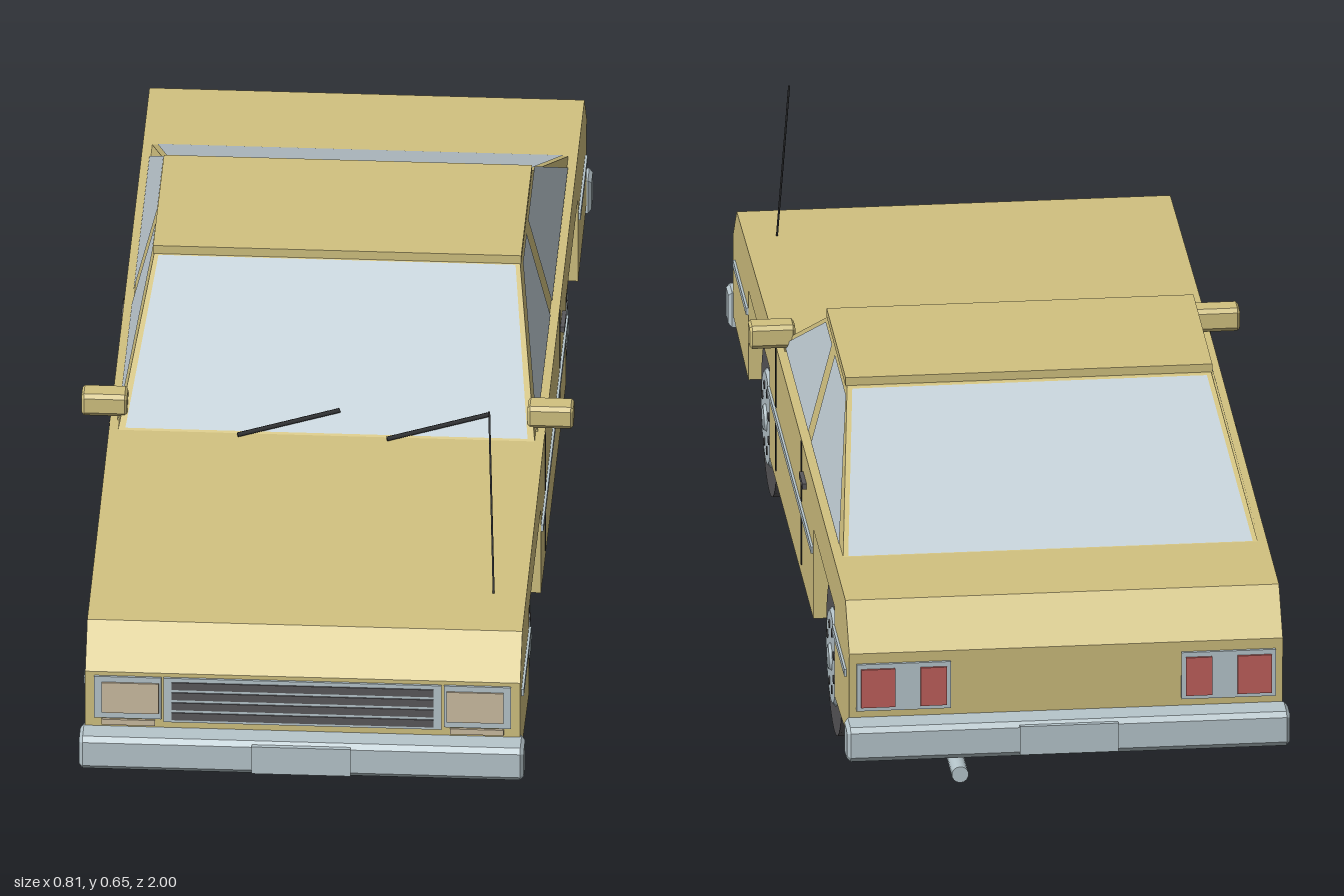
import * as THREE from 'three';

const material = (name, color, side = THREE.FrontSide) => {
  const m = new THREE.MeshStandardMaterial({ color, side });
  m.name = name;
  return m;
};

export function createModel() {
  const car = new THREE.Group();
  car.name = 'car';
  const paint = material('tan paint', 0xd2c280);
  const chrome = material('chrome', 0xb7c6cc);
  const glass = material('window glass', 0xc3d0d7, THREE.DoubleSide);
  const dark = material('dark grey', 0x59585b);
  const black = material('black trim', 0x303133);
  const lens = material('lamp lens', 0xcdbda2);
  const red = material('tail lamp red', 0xc0605c);

  const add = (name, geometry, mat, parent = car) => {
    const mesh = new THREE.Mesh(geometry, mat);
    mesh.name = name;
    parent.add(mesh);
    return mesh;
  };
  // Box given by its limits on each axis
  const box = (name, mat, x0, x1, y0, y1, z0, z1, parent) => {
    const mesh = add(name, new THREE.BoxGeometry(Math.abs(x1 - x0), y1 - y0, Math.abs(z1 - z0)), mat, parent);
    mesh.position.set((x0 + x1) / 2, (y0 + y1) / 2, (z0 + z1) / 2);
    return mesh;
  };
  // Side profile of [z, y] points, extruded across the car
  const across = (points, width, bevel = 0) => {
    const shape = new THREE.Shape(points.map(([z, y]) => new THREE.Vector2(z, y)));
    const depth = width - 2 * bevel;
    const g = new THREE.ExtrudeGeometry(shape, {
      depth, bevelEnabled: bevel > 0, bevelSize: bevel, bevelThickness: bevel, bevelOffset: -bevel, bevelSegments: 1,
    });
    return g.translate(0, 0, -depth / 2).rotateY(-Math.PI / 2);
  };
  // Flat polygon from corner points
  const panel = (name, points, mat) => {
    const g = new THREE.BufferGeometry();
    const tris = [];
    for (let i = 1; i < points.length - 1; i++) tris.push(...points[0], ...points[i], ...points[i + 1]);
    g.setAttribute('position', new THREE.Float32BufferAttribute(tris, 3));
    g.computeVertexNormals();
    return add(name, g, mat);
  };
  // Thin rod between two points
  const rod = (name, a, b, radius, mat, sides = 6) => {
    const p = new THREE.Vector3(...a), q = new THREE.Vector3(...b);
    const mesh = add(name, new THREE.CylinderGeometry(radius, radius, p.distanceTo(q), sides), mat);
    mesh.position.copy(p).add(q).multiplyScalar(0.5);
    mesh.quaternion.setFromUnitVectors(new THREE.Vector3(0, 1, 0), q.sub(p).normalize());
    return mesh;
  };

  // Lower body with square wheel openings
  add('body', across([
    [0.945, 0.145], [0.945, 0.287], [0.885, 0.351], [0.27, 0.368], [-0.88, 0.37], [-0.943, 0.3],
    [-0.935, 0.145], [-0.70, 0.13], [-0.70, 0.288], [-0.36, 0.288], [-0.36, 0.13],
    [0.355, 0.13], [0.355, 0.288], [0.695, 0.288], [0.695, 0.13],
  ], 0.714), paint);
  box('frontWheelWell', dark, -0.24, 0.24, 0.132, 0.287, 0.356, 0.694);
  box('rearWheelWell', dark, -0.24, 0.24, 0.132, 0.287, -0.699, -0.361);

  // Cabin: a tapered block under a roof slab
  const base = { y: 0.367, x: 0.342, front: 0.275, rear: -0.695 };
  const top = { y: 0.531, x: 0.3, front: -0.035, rear: -0.345 };
  const cabin = new THREE.BoxGeometry(2, 2, 2);
  const pos = cabin.attributes.position;
  for (let i = 0; i < pos.count; i++) {
    const e = pos.getY(i) > 0 ? top : base;
    pos.setXYZ(i, Math.sign(pos.getX(i)) * e.x, e.y, pos.getZ(i) > 0 ? e.front : e.rear);
  }
  cabin.computeVertexNormals();
  add('cabinFrame', cabin, paint);
  box('roof', paint, -0.302, 0.302, 0.53, 0.545, -0.34, -0.033);

  // Front and rear glass, just proud of the cabin
  panel('windshield', [[-0.33, 0.371, 0.271], [0.33, 0.371, 0.271], [0.293, 0.53, -0.029], [-0.293, 0.53, -0.029]], glass);
  panel('rearWindow', [[0.333, 0.371, -0.69], [-0.333, 0.371, -0.69], [-0.292, 0.53, -0.351], [0.292, 0.53, -0.351]], glass);

  for (const s of [1, -1]) {
    const side = s > 0 ? 'left' : 'right';
    // Side windows lie on the sloping cabin side
    const onSide = ([z, y]) => [s * (base.x + 0.003 - (y - base.y) / (top.y - base.y) * (base.x - top.x)), y, z];
    const window = (name, pts) => panel(side + name, (s > 0 ? pts : pts.slice().reverse()).map(onSide), glass);
    window('FrontWindow', [[0.245, 0.373], [-0.145, 0.373], [-0.145, 0.526], [-0.045, 0.526]]);
    window('RearWindow', [[-0.19, 0.373], [-0.645, 0.373], [-0.37, 0.526], [-0.19, 0.526]]);

    // Trim, door seams and handle
    for (const [z0, z1] of [[0.697, 0.91], [-0.358, 0.353], [-0.9, -0.702]])
      box(side + 'TrimStrip', chrome, s * 0.355, s * 0.361, 0.244, 0.256, z0, z1);
    for (const z of [0.245, -0.17])
      for (const [y0, y1] of [[0.15, 0.238], [0.262, 0.367]])
        box(side + 'DoorSeam', black, s * 0.354, s * 0.3585, y0, y1, z - 0.004, z + 0.004);
    box(side + 'DoorHandle', dark, s * 0.355, s * 0.364, 0.314, 0.324, -0.25, -0.195);

    // Mirror, with a bevelled shell
    const mirror = add(side + 'Mirror', across([[0.245, 0.378], [0.25, 0.385], [0.25, 0.411], [0.245, 0.418],
      [0.215, 0.418], [0.21, 0.411], [0.21, 0.385], [0.215, 0.378]], 0.075, 0.004), paint);
    mirror.position.x = s * 0.366;
    box(side + 'MirrorStalk', paint, s * 0.325, s * 0.345, 0.365, 0.385, 0.222, 0.24);

    // Headlamp and marker
    box(side + 'HeadlampFrame', chrome, s * 0.232, s * 0.342, 0.203, 0.28, 0.942, 0.949);
    box(side + 'HeadlampLens', lens, s * 0.236, s * 0.33, 0.214, 0.27, 0.946, 0.952);
    box(side + 'FrontMarker', lens, s * 0.242, s * 0.33, 0.19, 0.2, 0.942, 0.949);

    // Tail lamp: red, clear, red
    box(side + 'TailLampFrame', chrome, s * 0.19, s * 0.345, 0.2, 0.282, -0.947, -0.938);
    box(side + 'OuterTailLens', red, s * 0.282, s * 0.338, 0.207, 0.274, -0.951, -0.944);
    box(side + 'InnerTailLens', red, s * 0.197, s * 0.24, 0.207, 0.274, -0.951, -0.944);

    // Wheels: tyre, rim, hub and rim holes
    for (const [end, z] of [['Front', 0.525], ['Rear', -0.531]]) {
      const wheel = new THREE.Group();
      wheel.name = side + end + 'Wheel';
      wheel.position.set(s * 0.2925, 0.131, z);
      wheel.rotation.z = -s * Math.PI / 2;
      car.add(wheel);
      add('tyre', new THREE.CylinderGeometry(0.131, 0.131, 0.095, 28), dark, wheel);
      add('rim', new THREE.CylinderGeometry(0.077, 0.083, 0.006, 24), chrome, wheel).position.y = 0.05;
      add('hub', new THREE.CylinderGeometry(0.02, 0.024, 0.006, 12), chrome, wheel).position.y = 0.055;
      for (let i = 0; i < 8; i++) {
        const a = (i + 0.5) * Math.PI / 4;
        add('rimHole', new THREE.CylinderGeometry(0.008, 0.008, 0.003, 8), dark, wheel)
          .position.set(0.054 * Math.cos(a), 0.053, 0.054 * Math.sin(a));
      }
    }
  }

  // Grille with four dark slots
  box('grilleFrame', chrome, -0.228, 0.228, 0.198, 0.28, 0.942, 0.949);
  for (let i = 0; i < 4; i++) {
    const y = 0.203 + i * 0.0188;
    box('grilleSlot', dark, -0.215, 0.215, y, y + 0.0135, 0.946, 0.951);
  }

  // Bumpers with chamfered edges and number plates
  for (const [end, s] of [['front', 1], ['rear', -1]]) {
    const bumper = add(end + 'Bumper', across([[0.938, 0.125], [0.98, 0.125], [0.99, 0.135], [0.99, 0.178],
      [0.982, 0.186], [0.938, 0.186]], 0.73, 0.006), chrome);
    if (s < 0) bumper.rotation.y = Math.PI;
    box(end + 'Plate', chrome, -0.081, 0.081, 0.132, 0.182, s * 0.988, s * 0.996);
  }

  // Wipers, aerial and exhaust
  for (const x of [-0.145, 0.1])
    rod('wiper', [x, 0.372, 0.286], [x + 0.165, 0.396, 0.237], 0.004, black);
  rod('aerial', [0.303, 0.353, 0.765], [0.291, 0.65, 0.685], 0.0018, black);
  rod('exhaustPipe', [0.18, 0.103, -0.82], [0.18, 0.103, -1], 0.014, chrome, 14);
  box('exhaustHanger', dark, 0.176, 0.184, 0.103, 0.145, -0.84, -0.83);

  return car;
}
